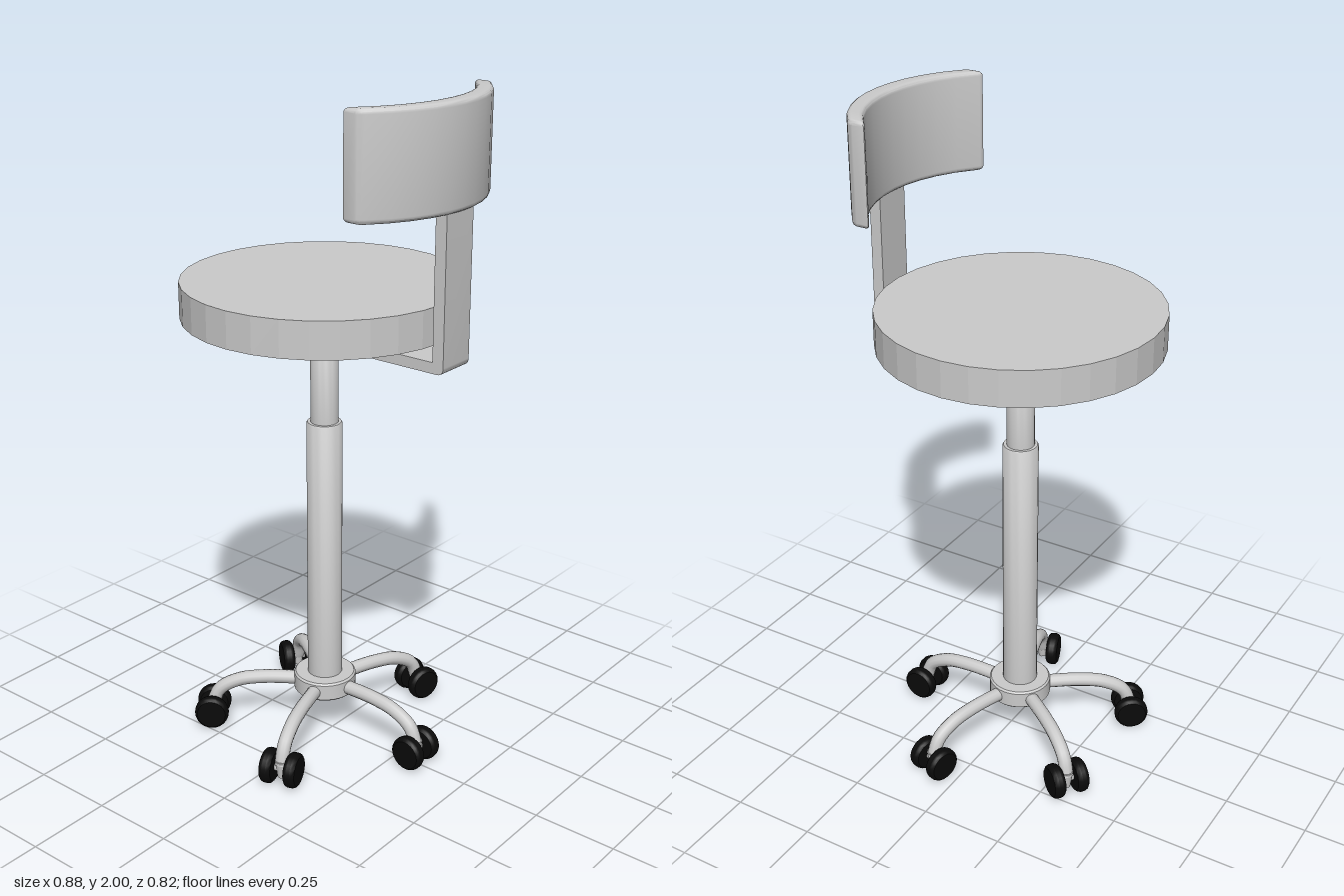
import * as THREE from 'three';
import { toCreasedNormals } from 'three/addons/utils/BufferGeometryUtils.js';

const AXIS_X = -0.03; // column axis
const SEAT_R = 0.41;

export function createModel() {
  const model = new THREE.Group();
  model.name = 'stool';
  const grey = new THREE.MeshStandardMaterial({ color: 0xcccccc });
  const flatGrey = new THREE.MeshStandardMaterial({ color: 0xcccccc, flatShading: true });
  const black = new THREE.MeshStandardMaterial({ color: 0x0a0a0a });

  const add = (parent, name, geometry, material = grey) => {
    const mesh = new THREE.Mesh(geometry, material);
    mesh.name = name;
    parent.add(mesh);
    return mesh;
  };
  const lathe = (pairs, sides = 32) => toCreasedNormals(
    new THREE.LatheGeometry(pairs.map(([r, y]) => new THREE.Vector2(r, y)), sides), 0.6);

  // Parts turned around the column axis
  const turned = new THREE.Group();
  turned.name = 'pedestal';
  turned.position.x = AXIS_X;
  model.add(turned);

  add(turned, 'seat', new THREE.CylinderGeometry(SEAT_R, SEAT_R, 0.107, 32), flatGrey).position.y = 1.398;
  add(turned, 'seatPlate', lathe([[0, 1.32], [0.115, 1.32], [0.128, 1.325], [0.138, 1.335], [0.141, 1.346]]));
  add(turned, 'spindle', lathe([[0.03, 1.26], [0.03, 1.322]], 24));
  add(turned, 'innerColumn', lathe([[0.041, 1.0], [0.041, 1.265], [0.038, 1.27], [0, 1.27]], 24));
  add(turned, 'outerColumn', lathe([[0.053, 0.17], [0.053, 1.015], [0.05, 1.02], [0, 1.02]], 24));
  add(turned, 'hub', lathe([[0, 0.135], [0.09, 0.135], [0.095, 0.14], [0.095, 0.188], [0.09, 0.194], [0, 0.194]]));

  // Five curved legs with twin-wheel casters
  const legPath = new THREE.CatmullRomCurve3(
    [[0.06, 0.163], [0.19, 0.163], [0.27, 0.15], [0.33, 0.115], [0.352, 0.06]]
      .map(([r, y]) => new THREE.Vector3(r, y, 0)));
  const legGeometry = new THREE.TubeGeometry(legPath, 20, 0.021, 12);
  const stemGeometry = new THREE.CylinderGeometry(0.02, 0.012, 0.055, 12);
  const axleGeometry = new THREE.CylinderGeometry(0.012, 0.012, 0.06, 12).rotateX(Math.PI / 2);
  const wheelGeometry = lathe([[0, -0.018], [0.044, -0.018], [0.05, -0.013], [0.0525, -0.006],
    [0.0525, 0.006], [0.05, 0.013], [0.044, 0.018], [0, 0.018]], 24).rotateX(Math.PI / 2);

  for (let i = 0; i < 5; i++) {
    const leg = new THREE.Group();
    leg.name = 'leg' + (i + 1);
    leg.rotation.y = i * Math.PI * 2 / 5;
    turned.add(leg);
    add(leg, 'legTube', legGeometry);
    add(leg, 'casterStem', stemGeometry).position.set(0.352, 0.05, 0);
    add(leg, 'casterAxle', axleGeometry).position.set(0.352, 0.0525, 0);
    for (const side of [-1, 1]) {
      add(leg, 'casterWheel', wheelGeometry, black).position.set(0.352, 0.0525, side * 0.038);
    }
  }

  // L-shaped bracket, a flat strip with a rounded bend
  const strip = new THREE.Shape();
  strip.moveTo(-0.03, 1.274);
  strip.lineTo(0.405, 1.274);
  strip.quadraticCurveTo(0.426, 1.274, 0.426, 1.295);
  strip.lineTo(0.426, 1.73);
  strip.lineTo(0.391, 1.73);
  strip.lineTo(0.391, 1.306);
  strip.lineTo(-0.03, 1.306);
  strip.closePath();
  const bracket = new THREE.ExtrudeGeometry(strip, { depth: 0.12, bevelEnabled: false, curveSegments: 6 });
  bracket.translate(0, 0, -0.06);
  add(model, 'backBracket', toCreasedNormals(bracket, 0.6));

  // Backrest: a rounded slab bent to follow the seat's rim
  const x0 = 0.38, x1 = 0.435, y0 = 1.71, y1 = 2, r = 0.014;
  const slab = new THREE.Shape();
  slab.moveTo(x0 + r, y0);
  slab.lineTo(x1 - r, y0);
  slab.quadraticCurveTo(x1, y0, x1, y0 + r);
  slab.lineTo(x1, y1 - r);
  slab.quadraticCurveTo(x1, y1, x1 - r, y1);
  slab.lineTo(x0 + r, y1);
  slab.quadraticCurveTo(x0, y1, x0, y1 - r);
  slab.lineTo(x0, y0 + r);
  slab.quadraticCurveTo(x0, y0, x0 + r, y0);
  const bevel = 0.012, depth = 0.58 - 2 * bevel;
  const back = new THREE.ExtrudeGeometry(slab, {
    depth, steps: 10, curveSegments: 4,
    bevelEnabled: true, bevelSize: bevel, bevelThickness: bevel, bevelOffset: -bevel, bevelSegments: 3,
  });
  back.translate(0, 0, -depth / 2);
  const p = back.attributes.position;
  for (let i = 0; i < p.count; i++) {
    const z = p.getZ(i);
    p.setX(i, p.getX(i) + Math.sqrt(SEAT_R * SEAT_R - z * z) - SEAT_R);
  }
  add(model, 'backrest', toCreasedNormals(back, 0.7));

  return model;
}
